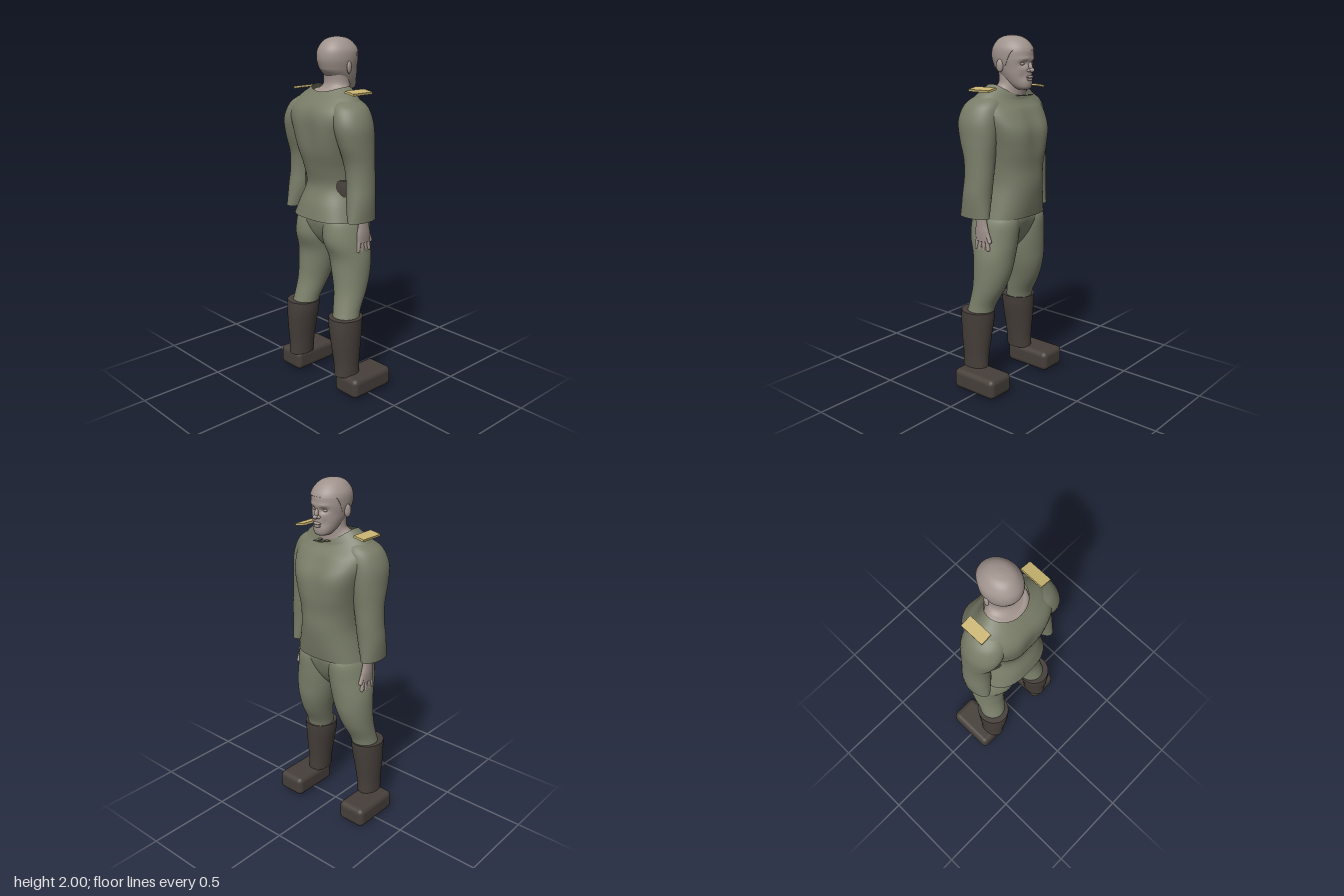
import * as THREE from 'three';
import { RoundedBoxGeometry } from 'three/addons/geometries/RoundedBoxGeometry.js';

const mat = (name, color, open) => {
  const m = new THREE.MeshStandardMaterial({ color });
  m.name = name;
  if (open) m.side = THREE.DoubleSide;
  return m;
};

// Smooth loft through horizontal sections [y, cx, cz, rx, rz, roundness]
function loft(sections, { side = 1, shape, capTop = true, capBottom = true, seg = 40, steps = 5 } = {}) {
  const s = [...sections].sort((a, b) => a[0] - b[0]);
  const at = i => s[Math.min(s.length - 1, Math.max(0, i))];
  const cubic = (a, b, c, d, t) =>
    b + 0.5 * t * (c - a + t * (2 * a - 5 * b + 4 * c - d + t * (3 * (b - c) + d - a)));
  const pos = [], idx = [], rows = (s.length - 1) * steps + 1;
  for (let r = 0; r < rows; r++) {
    const i = Math.min(Math.floor(r / steps), s.length - 2), t = r / steps - i;
    const [y, cx, cz, rx, rz, n] = [0, 1, 2, 3, 4, 5].map(k => {
      const v = q => at(q)[k] ?? 2;
      return cubic(v(i - 1), v(i), v(i + 1), v(i + 2), t);
    });
    for (let j = 0; j < seg; j++) {
      const a = j / seg * Math.PI * 2, c = Math.cos(a), d = Math.sin(a);
      const p = new THREE.Vector3(
        side * cx + rx * Math.sign(c) * Math.abs(c) ** (2 / n), y,
        cz + rz * Math.sign(d) * Math.abs(d) ** (2 / n));
      if (shape) shape(p, d);
      pos.push(p.x, p.y, p.z);
      if (r < rows - 1) {
        const A = r * seg + j, B = r * seg + (j + 1) % seg;
        idx.push(A, A + seg, B, B, A + seg, B + seg);
      }
    }
  }
  const cap = (row, top) => {
    const base = pos.length / 3, mid = [0, 0, 0];
    for (let j = 0; j < seg; j++) for (let k = 0; k < 3; k++) {
      const v = pos[(row * seg + j) * 3 + k];
      pos.push(v);
      mid[k] += v / seg;
    }
    pos.push(...mid);
    for (let j = 0; j < seg; j++) {
      const A = base + j, B = base + (j + 1) % seg;
      idx.push(...(top ? [A, base + seg, B] : [A, B, base + seg]));
    }
  };
  if (capTop) cap(rows - 1, true);
  if (capBottom) cap(0, false);
  const g = new THREE.BufferGeometry();
  g.setAttribute('position', new THREE.Float32BufferAttribute(pos, 3));
  g.setIndex(idx);
  g.computeVertexNormals();
  return g;
}

const bump = (x, y, cx, cy, w, h) => Math.exp(-(((x - cx) / w) ** 2) - ((y - cy) / h) ** 2);
// Drop of the neckline at the throat and nape; d is -1 at the front, 1 at the back
const neckDip = d => d * d * (d < 0 ? .06 : .028);

export function createModel() {
  const root = new THREE.Group();
  const jacketMat = mat('olive jacket', 0x787c67, true);
  const trouserMat = mat('olive trousers', 0x7e836d);
  const skinMat = mat('skin', 0xa3958f);
  const hairMat = mat('cropped hair', 0xa0938d, true);
  const bootMat = mat('dark leather', 0x463f3a);
  const goldMat = mat('gold braid', 0xcab572);
  const add = (name, geo, m, parent = root) => {
    const mesh = new THREE.Mesh(geo, m);
    mesh.name = name;
    parent.add(mesh);
    return mesh;
  };
  const blob = (name, x, y, z, rx, ry, rz, parent) => {
    const b = add(name, new THREE.SphereGeometry(1, 20, 14), skinMat, parent);
    b.position.set(x, y, z);
    b.scale.set(rx, ry, rz);
    return b;
  };

  // Jacket body with chest and shoulder blade swell, and a dipped neckline
  add('jacketBody', loft([
    [1.02, 0, .012, .213, .174, 2.7], [1.1, 0, -.004, .192, .173, 2.4], [1.2, 0, -.027, .168, .163, 2.2],
    [1.3, 0, -.018, .17, .172, 2.3], [1.4, 0, -.008, .184, .19, 2.6], [1.5, 0, .001, .208, .195, 2.7],
    [1.58, 0, .022, .235, .176, 2.5], [1.64, 0, .032, .235, .148, 2.2], [1.69, 0, .027, .195, .122],
    [1.72, 0, .018, .155, .108], [1.745, 0, .01, .122, .097],
  ], {
    capTop: false, capBottom: false, seg: 64,
    shape: (p, d) => {
      p.z *= 1 - .07 * bump(p.x, p.y, 0, 1.52, .055, .14);
      p.y -= Math.max(0, (p.y - 1.62) / .125) * neckDip(d);
    },
  }), jacketMat);

  // Belt, only showing at the back of the flanks
  add('belt', loft([[1.155, 0, .03, .18, .085], [1.2, 0, .03, .183, .085], [1.245, 0, .03, .178, .085]]), bootMat);

  // Seat of the trousers
  add('trouserSeat', loft([
    [.83, 0, -.005, .045, .05], [.87, 0, 0, .1, .09], [.93, 0, .003, .18, .127],
    [1.0, 0, .003, .213, .146, 2.3], [1.05, 0, .003, .19, .14, 2.3],
  ], { shape: p => { p.z *= 1 - .08 * bump(p.x, p.y, 0, .94, .03, .08); } }), trouserMat);

  // Neck flaring out to fill the neckline, and head
  add('neck', loft([
    [1.66, 0, .01, .13, .1], [1.715, 0, .01, .121, .095], [1.73, 0, -.006, .092, .082],
    [1.755, 0, -.024, .076, .069], [1.82, 0, -.02, .075, .07],
  ], { shape: (p, d) => { p.y -= THREE.MathUtils.smoothstep(-p.y, -1.76, -1.715) * neckDip(d); } }), skinMat);
  const skull = [
    [1.83, 0, -.037, .09, .112], [1.88, 0, -.03, .099, .12], [1.93, 0, -.03, .096, .115],
    [1.97, 0, -.027, .071, .085], [1.99, 0, -.025, .043, .051], [1.998, 0, -.025, .008, .01],
  ];
  add('head', loft([
    [1.715, 0, -.1, .025, .03], [1.725, 0, -.095, .045, .05], [1.75, 0, -.074, .063, .077],
    [1.79, 0, -.055, .079, .095], ...skull,
  ], {
    seg: 64, steps: 8,
    shape: p => {
      if (p.z > -.09) return;
      const x = Math.abs(p.x);
      p.z += .016 * bump(x, p.y, .036, 1.852, .02, .014) + .006 * bump(x, p.y, .04, 1.785, .018, .025);
      p.z -= .005 * bump(x, p.y, .035, 1.878, .03, .01);
    },
  }), skinMat);
  // Cropped hair shell with a raised hairline over the face
  add('hair', loft(skull.map(([y, x, z, rx, rz]) => [y + .002, x, z, rx + .003, rz + .003]), {
    capBottom: false, steps: 8, seg: 72,
    shape: p => { p.y = Math.max(p.y, 1.832 + .09 * THREE.MathUtils.smoothstep(-p.z, .04, .1)); },
  }), hairMat);
  const nose = blob('nose', 0, 1.836, -.149, .011, .03, .015);
  nose.rotation.x = .3;
  blob('noseTip', 0, 1.819, -.16, .013, .012, .015);
  blob('upperLip', 0, 1.783, -.147, .026, .008, .012);
  blob('lowerLip', 0, 1.769, -.145, .022, .008, .012);
  blob('chin', 0, 1.738, -.13, .028, .019, .018);

  for (const side of [1, -1]) {
    const half = new THREE.Group();
    half.name = (side > 0 ? 'plusX' : 'minusX') + 'Side';
    root.add(half);

    blob('eye', side * .036, 1.852, -.122, .014, .009, .012, half);
    blob('nostril', side * .013, 1.817, -.148, .01, .008, .012, half);
    const ear = blob('ear', side * .1, 1.842, -.022, .011, .034, .02, half);
    ear.rotation.y = side * .35;

    // Sleeve and open collar tip
    add('sleeve', loft([
      [1.69, .13, .03, .05, .05], [1.67, .145, .033, .073, .085], [1.63, .168, .038, .097, .112],
      [1.55, .2, .042, .096, .122], [1.45, .215, .032, .086, .11], [1.35, .222, .018, .08, .09],
      [1.25, .232, .015, .074, .085], [1.15, .241, .022, .071, .088], [1.035, .254, .028, .05, .097],
    ], { side }), jacketMat, half);
    const tip = add('collarTip', new THREE.BoxGeometry(.022, .005, .07), jacketMat, half);
    tip.position.set(side * .02, 1.685, -.115);
    tip.rotation.set(.08, side * .2, 0);

    // Shoulder board
    const board = add('shoulderBoard', new THREE.BoxGeometry(.066, .012, .14), goldMat, half);
    board.position.set(side * .205, 1.721, .01);
    board.rotation.z = side * -.17;

    // Hand with spread fingers and thumb
    add('wrist', loft([
      [1.09, .24, 0, .024, .036], [1.0, .237, -.005, .021, .038],
      [.95, .235, -.008, .02, .047], [.9, .234, -.008, .015, .047],
    ], { side, seg: 20 }), skinMat, half);
    for (let i = 0; i < 5; i++) {
      const thumb = i === 4;
      const f = add(thumb ? 'thumb' : 'finger', new THREE.CapsuleGeometry(.0115, thumb ? .05 : .055, 4, 10), skinMat, half);
      f.position.set(side * .234, thumb ? .925 : .884 - .006 * (i % 3 > 0), thumb ? -.052 : .03 - i * .025);
      f.rotation.x = thumb ? .38 : (i - 1.5) * .11;
    }

    // Trouser leg
    add('trouserLeg', loft([
      [1.05, .1, .002, .095, .125], [1.0, .108, .002, .111, .147], [.9, .116, .006, .121, .145],
      [.8, .131, -.006, .119, .122], [.7, .143, -.002, .107, .111], [.6, .156, .016, .091, .095],
      [.5, .168, .052, .078, .079], [.43, .178, .07, .075, .08],
    ], { side }), trouserMat, half);

    // Tall boot shaft and blocky shoe
    add('bootShaft', loft([
      [.465, .182, .075, .093, .099], [.4, .184, .078, .089, .099], [.3, .191, .08, .077, .091],
      [.2, .196, .08, .066, .081], [.12, .2, .08, .061, .08],
    ], { side }), bootMat, half);
    const shoe = add('shoe', new RoundedBoxGeometry(.176, .118, .296, 5, .032), bootMat, half);
    shoe.position.set(side * .243, .069, -.008);
    // Foot peeking out below the shaft and through the sole
    blob('ankle', side * .2, .122, .09, .048, .018, .06, half);
    blob('heel', side * .21, .022, .075, .03, .021, .035, half);
    blob('forefoot', side * .24, .022, -.06, .048, .022, .032, half);
    blob('toes', side * .275, .02, -.1, .025, .019, .022, half);
  }
  return root;
}
